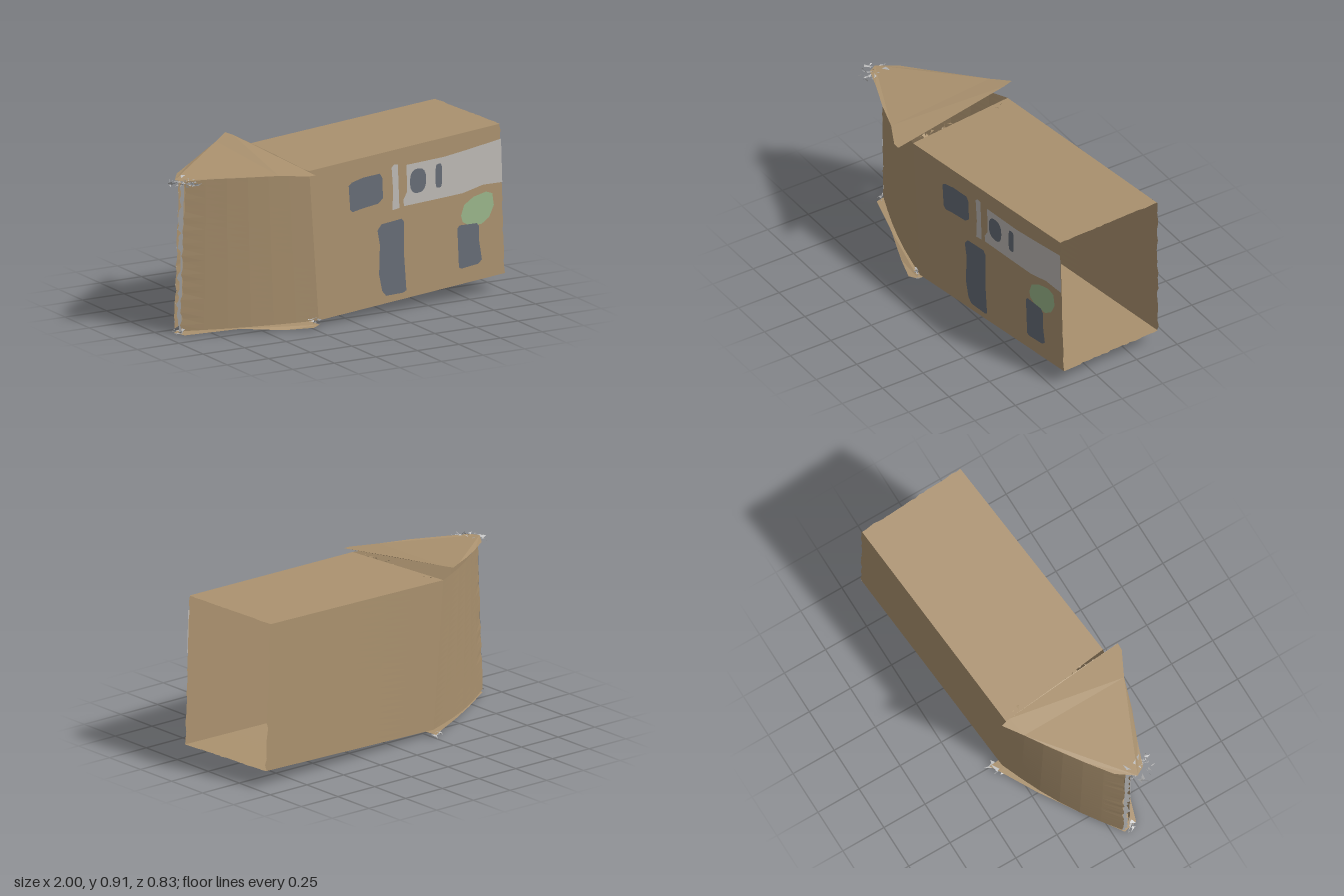
import * as THREE from 'three';

const mat = (name, color) => new THREE.MeshStandardMaterial({ name, color, side: THREE.DoubleSide, flatShading: true });
const cardboard = mat('cardboard', 0xab926f);
const slate = mat('slatePaint', 0x666c76);
const pale = mat('palePaint', 0xbdb9b5);
const green = mat('greenPaint', 0x9ab68a);
const torn = mat('tornPaper', 0xb9b9b9);

// Seeded random in -1..1
let seed = 7;
const rnd = () => {
  seed = (seed * 16807) % 2147483647;
  return (seed / 2147483647) * 2 - 1;
};

export function createModel() {
  seed = 7;
  const group = new THREE.Group();
  group.name = 'cardboardBox';
  const V = (x, y, z) => new THREE.Vector3(x, y, z);
  const add = (name, geo, material, parent = group) => {
    geo.computeVertexNormals();
    const m = new THREE.Mesh(geo, material);
    m.name = name;
    parent.add(m);
    return m;
  };

  // Four-cornered sheet; bulge pushes the middle out, ragged roughens the edge from b to c
  function sheet(name, a, b, c, d, { bulge = V(0, 0, 0), ragged = 0, nu = 6, nv = 24, material = cardboard } = {}) {
    const geo = new THREE.PlaneGeometry(1, 1, nu, nv);
    const p = geo.attributes.position;
    const along = b.clone().sub(a).normalize();
    for (let i = 0; i < p.count; i++) {
      const u = p.getX(i) + 0.5, v = p.getY(i) + 0.5;
      const q = a.clone().lerp(b, u).lerp(d.clone().lerp(c, u), v);
      q.addScaledVector(bulge, Math.sin(Math.PI * u));
      if (u > 0.99) q.addScaledVector(along, rnd() * ragged);
      p.setXYZ(i, q.x, q.y, q.z);
    }
    return add(name, geo, material);
  }

  // Corners: front/back, left/right of the picture plane, bottom/top
  const wallZ = x => 0.32 - 0.105 * (x + 0.2);
  const flb = V(-0.2, 0.035, wallZ(-0.2)), flt = V(-0.26, 0.85, wallZ(-0.26));
  const frb = V(0.99, 0.1, wallZ(0.99)), frt = V(0.96, 0.91, wallZ(0.96));
  const blb = V(-0.28, 0.03, -0.3), blt = V(-0.34, 0.842, -0.31);
  const brb = V(0.955, 0.1, -0.41), brt = V(0.93, 0.905, -0.42);

  // Open-ended box body
  sheet('frontWall', flb, frb, frt, flt, { ragged: 0.004 });
  sheet('backWall', blb, brb, brt, blt, { ragged: 0.008 });
  sheet('topWall', flt, frt, brt, blt, { ragged: 0.005 });
  sheet('floor', flb, frb, brb, blb, { ragged: 0.005 });

  // Side flaps folded together into a wedge
  const ftb = V(-0.9, 0.02, 0.1), ftt = V(-0.89, 0.835, 0.115);
  const btb = V(-0.91, 0.025, 0.05), btt = V(-0.9, 0.84, 0.075);
  sheet('frontSideFlap', flb, ftb, ftt, flt, { bulge: V(-0.005, 0, 0.02), ragged: 0.008 });
  sheet('backSideFlap', blb, btb, btt, blt, { bulge: V(-0.015, 0, -0.025), ragged: 0.008 });

  // Torn paper along the flap ends
  const out = V(-0.012, 0, 0.02);
  sheet('tornBackEdge', btb, btb.clone().add(out), btt.clone().add(out), btt,
    { ragged: 0.012, nu: 1, nv: 40, material: torn });
  const inn = V(-0.015, 0, -0.012);
  sheet('tornFrontEdge', ftb, ftb.clone().add(inn), ftt.clone().add(inn), ftt,
    { ragged: 0.01, nu: 1, nv: 40, material: torn });

  // Triangular flaps lying over the wedge, outlined in x and z
  function flap(name, outline, height) {
    const geo = new THREE.ShapeGeometry(new THREE.Shape(outline.map(([x, z]) => new THREE.Vector2(x, z))));
    const p = geo.attributes.position;
    for (let i = 0; i < p.count; i++) {
      const x = p.getX(i), z = p.getY(i);
      p.setXYZ(i, x, height(x, z), z);
    }
    add(name, geo, cardboard);
  }
  flap('topFlap', [[-0.27, 0.41], [-0.31, 0.41], [-0.45, 0.34], [-0.62, 0.285], [-0.78, 0.22], [-0.92, 0.17],
    [-0.95, 0.12], [-0.88, 0.02], [-0.75, -0.08], [-0.6, -0.19], [-0.47, -0.28], [-0.37, -0.355], [-0.355, -0.3], [-0.31, 0.05]],
    (x, z) => 0.846 + 0.075 * ((0.42 - z) / 0.78) * Math.max(0, (x + 0.93) / 0.6));
  flap('bottomFlap', [[-0.2, 0.33], [-0.25, 0.36], [-0.4, 0.31], [-0.62, 0.23], [-0.9, 0.14],
    [-0.92, 0.06], [-0.7, -0.09], [-0.5, -0.22], [-0.3, -0.33], [-0.25, -0.36]],
    (x, z) => 0.016 + 0.01 * Math.sin(x * 9 + z * 5));

  // Crumpled scraps: small loose triangles round a centre
  function scraps(name, c, spread, n, size, material) {
    const pts = [];
    for (let i = 0; i < n; i++) {
      const o = V(c.x + rnd() * spread.x, c.y + rnd() * spread.y, c.z + rnd() * spread.z);
      for (let k = 0; k < 3; k++) pts.push(o.x + rnd() * size, Math.max(0, o.y + rnd() * size * 0.5), o.z + rnd() * size);
    }
    const geo = new THREE.BufferGeometry();
    geo.setAttribute('position', new THREE.Float32BufferAttribute(pts, 3));
    add(name, geo, material);
  }
  scraps('topTipScraps', V(-0.92, 0.84, 0.15), V(0.06, 0.015, 0.07), 34, 0.024, torn);
  scraps('bottomTipScraps', V(-0.91, 0.018, 0.09), V(0.015, 0.01, 0.03), 10, 0.022, torn);
  scraps('frontCornerScraps', V(-0.225, 0.04, 0.325), V(0.02, 0.02, 0.01), 10, 0.022, torn);
  scraps('backCornerScraps', V(-0.27, 0.018, -0.34), V(0.03, 0.008, 0.025), 9, 0.03, torn);
  scraps('hingeScraps', V(-0.3, 0.838, 0.02), V(0.015, 0.01, 0.28), 24, 0.025, cardboard);

  // Painted patches following the front wall
  const painted = new THREE.Group();
  painted.name = 'paintedDetails';
  group.add(painted);
  function patch(name, pts, material, lift = 0.004) {
    const shape = new THREE.Shape(pts.map(([x, y]) => new THREE.Vector2(x, y)));
    const geo = new THREE.ShapeGeometry(shape);
    const p = geo.attributes.position;
    for (let i = 0; i < p.count; i++) p.setZ(i, wallZ(p.getX(i)) + lift);
    add(name, geo, material, painted);
  }
  const oval = (cx, cy, rx, ry, power = 0.8) => Array.from({ length: 16 }, (_, i) => {
    const a = (i / 16) * Math.PI * 2, c = Math.cos(a), s = Math.sin(a);
    return [cx + rx * Math.sign(c) * Math.abs(c) ** power, cy + ry * Math.sign(s) * Math.abs(s) ** power];
  });
  patch('upperWindow', [[-0.01, 0.73], [0.01, 0.745], [0.08, 0.76], [0.19, 0.765], [0.205, 0.74],
    [0.21, 0.63], [0.18, 0.605], [0.08, 0.595], [0.015, 0.585], [0, 0.6]], slate);
  patch('paleStrip', [[0.265, 0.785], [0.28, 0.8], [0.305, 0.795], [0.315, 0.56], [0.27, 0.555], [0.275, 0.66]], pale);
  patch('palePanel', [[0.36, 0.785], [0.6, 0.79], [0.75, 0.805], [0.966, 0.83], [0.974, 0.595], [0.85, 0.6],
    [0.72, 0.575], [0.55, 0.57], [0.345, 0.565], [0.34, 0.6], [0.365, 0.64]], pale);
  patch('roundWindow', oval(0.432, 0.69, 0.052, 0.066), slate, 0.008);
  patch('slitWindow', oval(0.565, 0.695, 0.021, 0.065, 0.5), slate, 0.008);
  patch('tallDoor', [[0.175, 0.46], [0.2, 0.49], [0.33, 0.5], [0.345, 0.48], [0.345, 0.3], [0.36, 0.11],
    [0.34, 0.1], [0.23, 0.1], [0.205, 0.13], [0.185, 0.22], [0.19, 0.38]], slate);
  patch('greenPatch', [[0.71, 0.455], [0.73, 0.51], [0.79, 0.545], [0.87, 0.56], [0.91, 0.545], [0.92, 0.48],
    [0.89, 0.42], [0.84, 0.39], [0.76, 0.395], [0.72, 0.42]], green);
  patch('smallDoor', [[0.685, 0.39], [0.7, 0.405], [0.81, 0.4], [0.825, 0.38], [0.825, 0.3], [0.842, 0.2],
    [0.82, 0.18], [0.71, 0.17], [0.695, 0.18]], slate, 0.006);

  return group;
}
